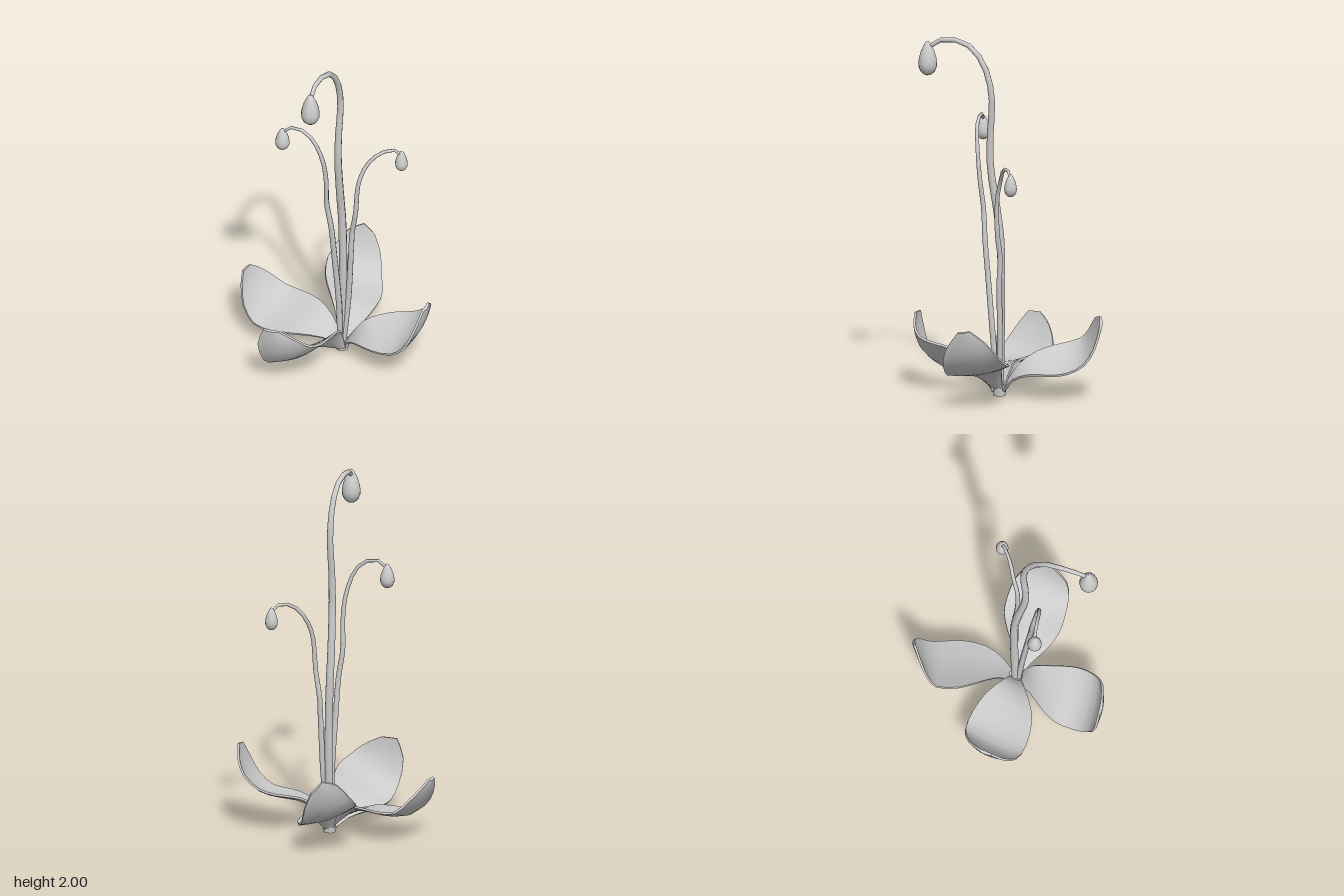
import * as THREE from 'three';
import { toCreasedNormals } from 'three/addons/utils/BufferGeometryUtils.js';

const material = new THREE.MeshStandardMaterial({ color: 0xcccccc });

function addMesh(parent, geometry, name) {
  const mesh = new THREE.Mesh(geometry, material);
  mesh.name = name;
  parent.add(mesh);
  return mesh;
}

// Smooth edge line through one side of the leaf stations
function edgeLine(rows, offset, stations) {
  const points = rows.map(r => new THREE.Vector3(...r.slice(offset, offset + 3)));
  return new THREE.CatmullRomCurve3(points).getPoints(stations);
}

// Thick, cupped leaf skinned over stations of [left edge xyz, right edge xyz], base to tip
function leafGeometry(rows, thickness = 0.018, cup = 0.06, across = 6) {
  const last = 2 * (rows.length - 1);
  const left = edgeLine(rows, 0, last), right = edgeLine(rows, 3, last);
  const mid = left.map((p, i) => p.clone().lerp(right[i], 0.5));
  const positions = [], index = [];
  const ring = 2 * (across + 1);
  for (let i = 0; i <= last; i++) {
    const along = mid[Math.min(i + 1, last)].clone().sub(mid[Math.max(i - 1, 0)]);
    const span = right[i].clone().sub(left[i]);
    const normal = span.clone().cross(along).normalize();
    for (let k = 0; k < ring; k++) {
      const top = k <= across;
      const t = (top ? k : ring - 1 - k) / across;
      const bulge = Math.sin(Math.PI * t);
      const half = thickness * (0.35 + 0.15 * bulge) * (top ? 1 : -1);
      const p = left[i].clone().lerp(right[i], t)
        .addScaledVector(normal, half - cup * span.length() * bulge);
      positions.push(p.x, p.y, p.z);
    }
  }
  for (let i = 0; i < last; i++) {
    for (let k = 0; k < ring; k++) {
      const a = i * ring + k, b = i * ring + (k + 1) % ring;
      index.push(a, b, b + ring, a, b + ring, a + ring);
    }
  }
  // close the base and the tip
  for (let k = 0; k < across; k++) {
    const a = k, b = k + 1, c = ring - 2 - k, d = ring - 1 - k, o = last * ring;
    index.push(a, d, c, a, c, b);
    index.push(o + a, o + c, o + d, o + a, o + b, o + c);
  }
  const geometry = new THREE.BufferGeometry();
  geometry.setAttribute('position', new THREE.Float32BufferAttribute(positions, 3));
  geometry.setIndex(index);
  return toCreasedNormals(geometry, 0.8);
}

// Tube whose rings shrink toward the tip
function stemGeometry(points, r0, r1) {
  const path = new THREE.CatmullRomCurve3(points.map(p => new THREE.Vector3(...p)));
  const segments = 26, sides = 8;
  const geometry = new THREE.TubeGeometry(path, segments, r0, sides);
  const pos = geometry.attributes.position, v = new THREE.Vector3();
  for (let i = 0; i <= segments; i++) {
    const t = i / segments, center = path.getPointAt(t);
    const scale = 1 + (r1 / r0 - 1) * Math.pow(t, 2.5);
    for (let j = 0; j <= sides; j++) {
      const n = i * (sides + 1) + j;
      v.fromBufferAttribute(pos, n).sub(center).multiplyScalar(scale).add(center);
      pos.setXYZ(n, v.x, v.y, v.z);
    }
  }
  return geometry;
}

// Hanging teardrop, tip up, with its bottom at y = 0
function budGeometry(radius, height) {
  const outline = [[0, 0], [0.4, 0.03], [0.75, 0.11], [0.96, 0.24], [1, 0.36],
    [0.92, 0.52], [0.72, 0.7], [0.46, 0.86], [0.22, 0.96], [0, 1]];
  return new THREE.LatheGeometry(
    outline.map(([r, y]) => new THREE.Vector2(r * radius, y * height)), 16);
}

const leaves = {
  leftLeaf: [
    [0.04, 0.03, -0.025, 0.04, 0.03, 0.025], [0.13, 0.175, -0.055, 0.11, 0.1, 0.06],
    [0.2, 0.21, -0.11, 0.21, 0.15, 0.125], [0.29, 0.23, -0.165, 0.31, 0.165, 0.155],
    [0.38, 0.255, -0.178, 0.42, 0.18, 0.15], [0.47, 0.32, -0.165, 0.5, 0.245, 0.14],
    [0.52, 0.395, -0.12, 0.54, 0.34, 0.11], [0.552, 0.46, -0.04, 0.557, 0.45, 0.03]],
  rightLeaf: [
    [0.02, 0.025, 0.03, 0.02, 0.03, -0.025], [-0.05, 0.09, 0.08, -0.06, 0.16, -0.045],
    [-0.18, 0.125, 0.17, -0.17, 0.19, -0.1], [-0.3, 0.12, 0.2, -0.3, 0.185, -0.135],
    [-0.42, 0.13, 0.2, -0.41, 0.195, -0.135], [-0.5, 0.205, 0.17, -0.48, 0.26, -0.1],
    [-0.545, 0.3, 0.115, -0.53, 0.32, -0.05], [-0.56, 0.36, 0.07, -0.555, 0.36, 0]],
  frontLeaf: [
    [0.065, 0.03, 0.025, 0, 0.018, 0.035], [0.072, 0.18, 0.09, -0.04, 0.055, 0.11],
    [0.09, 0.235, 0.2, -0.11, 0.075, 0.2], [0.108, 0.27, 0.3, -0.165, 0.085, 0.3],
    [0.11, 0.285, 0.38, -0.175, 0.09, 0.41], [0.085, 0.31, 0.46, -0.185, 0.155, 0.5],
    [0.035, 0.355, 0.505, -0.195, 0.29, 0.548], [-0.065, 0.405, 0.54, -0.155, 0.4, 0.553]],
  backLeaf: [
    [0, 0.03, -0.01, 0.05, 0.03, -0.03], [-0.06, 0.16, -0.08, 0.08, 0.1, -0.1],
    [-0.14, 0.225, -0.155, 0.1, 0.14, -0.2], [-0.215, 0.255, -0.24, 0.083, 0.145, -0.335],
    [-0.268, 0.29, -0.36, 0.05, 0.155, -0.41], [-0.25, 0.35, -0.42, 0, 0.2, -0.49],
    [-0.2, 0.43, -0.48, -0.035, 0.29, -0.54], [-0.135, 0.455, -0.535, -0.08, 0.39, -0.555]],
};

const stalks = [
  { name: 'tallStem', r0: 0.024, r1: 0.012, bud: [0.063, 1.775, 0.415], size: [0.052, 0.195],
    points: [[0.025, 0.03, 0], [0.03, 0.5, -0.01], [0.025, 0.87, -0.005], [0.025, 1.03, 0.015],
      [0.033, 1.29, 0.053], [0.035, 1.45, 0.053], [0.042, 1.69, 0.042], [0.045, 1.85, 0.085],
      [0.046, 1.95, 0.164], [0.045, 1.985, 0.28], [0.055, 1.96, 0.39], [0.062, 1.935, 0.412]] },
  { name: 'rightStem', r0: 0.017, r1: 0.008, bud: [-0.233, 1.375, 0.206], size: [0.04, 0.14],
    points: [[0.025, 0.03, 0.015], [0.03, 0.34, 0.04], [0.02, 0.66, 0.072], [0.012, 0.87, 0.094],
      [-0.008, 1.03, 0.11], [0, 1.19, 0.128], [-0.013, 1.34, 0.147], [-0.07, 1.487, 0.175],
      [-0.156, 1.535, 0.19], [-0.21, 1.515, 0.2], [-0.232, 1.49, 0.205]] },
  { name: 'leftStem', r0: 0.017, r1: 0.008, bud: [0.302, 1.182, -0.18], size: [0.035, 0.13],
    points: [[0.035, 0.03, 0], [0.06, 0.34, -0.015], [0.075, 0.66, -0.018], [0.078, 0.78, -0.025],
      [0.103, 0.92, -0.018], [0.12, 1.13, -0.025], [0.153, 1.24, -0.06], [0.205, 1.305, -0.095],
      [0.255, 1.325, -0.137], [0.288, 1.312, -0.168], [0.302, 1.285, -0.18]] },
];

export function createModel() {
  const model = new THREE.Group();
  model.name = 'plant';

  // leaf rosette
  for (const [name, rows] of Object.entries(leaves)) addMesh(model, leafGeometry(rows), name);

  // collar where leaves and stems meet
  const collar = addMesh(model, new THREE.CylinderGeometry(0.038, 0.034, 0.06, 10), 'collar');
  collar.position.set(0.028, 0.03, 0);

  // arching stems, each with a hanging bud
  for (const s of stalks) {
    const stalk = new THREE.Group();
    stalk.name = s.name;
    addMesh(stalk, stemGeometry(s.points, s.r0, s.r1), 'stem');
    addMesh(stalk, budGeometry(...s.size), 'bud').position.set(...s.bud);
    model.add(stalk);
  }
  return model;
}
